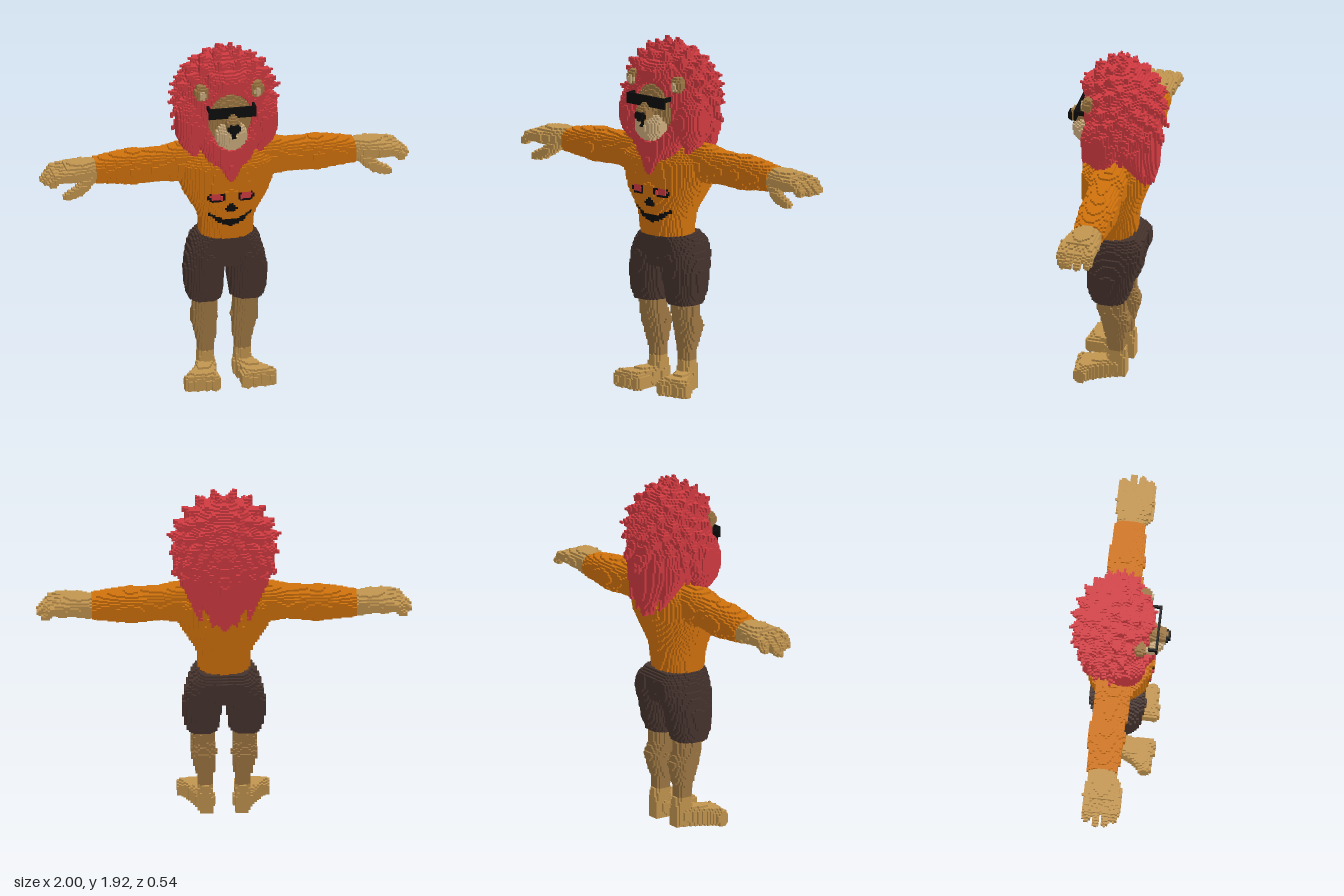
import * as THREE from 'three';

// Voxel figure: every part is a set of simple solids sampled on one shared grid.
const S = 2 / 170, DIM = [174, 168, 64], OFF = [87, 0, 29];
const lerp = (a, b, t) => a + (b - a) * t;

// Ellipsoid
const ball = (x, y, z, rx, ry, rz) => ({
  min: [x - rx, y - ry, z - rz], max: [x + rx, y + ry, z + rz],
  test: (p) => ((p[0] - x) / rx) ** 2 + ((p[1] - y) / ry) ** 2 + ((p[2] - z) / rz) ** 2 <= 1,
});
// Axis-aligned block
const block = (x0, x1, y0, y1, z0, z1, rule = () => true) => ({
  min: [x0, y0, z0], max: [x1, y1, z1],
  test: (p) => p[0] >= x0 && p[0] <= x1 && p[1] >= y0 && p[1] <= y1 && p[2] >= z0 && p[2] <= z1 && rule(p),
});
// Superellipse sections [t, centre a, centre b, radius a, radius b] along an axis
function loft(axis, rings, power = 2.3) {
  const [a, b] = [0, 1, 2].filter((k) => k !== axis);
  const min = [], max = [];
  min[axis] = rings[0][0]; max[axis] = rings.at(-1)[0];
  [a, b].forEach((k, i) => {
    min[k] = Math.min(...rings.map((r) => r[1 + i] - r[3 + i]));
    max[k] = Math.max(...rings.map((r) => r[1 + i] + r[3 + i]));
  });
  const test = (p) => {
    const t = p[axis];
    const n = rings.findIndex((r, i) => i && t >= rings[i - 1][0] && t <= r[0]);
    if (n < 1) return false;
    const f = (t - rings[n - 1][0]) / (rings[n][0] - rings[n - 1][0]);
    const [, ca, cb, ra, rb] = rings[n].map((v, i) => lerp(rings[n - 1][i], v, f));
    return Math.abs((p[a] - ca) / ra) ** power + Math.abs((p[b] - cb) / rb) ** power <= 1;
  };
  return { min, max, test };
}
// Tapered rod between two points
function rod(A, B, r0, r1) {
  const r = Math.max(r0, r1), d = B.map((v, k) => v - A[k]), len = d[0] ** 2 + d[1] ** 2 + d[2] ** 2;
  return {
    min: A.map((v, k) => Math.min(v, B[k]) - r), max: A.map((v, k) => Math.max(v, B[k]) + r),
    test: (p) => {
      let t = 0;
      for (let k = 0; k < 3; k++) t += (p[k] - A[k]) * d[k] / len;
      t = Math.min(1, Math.max(0, t));
      return Math.hypot(...p.map((v, k) => v - A[k] - d[k] * t)) <= lerp(r0, r1, t);
    },
  };
}
const flip = (s) => ({
  min: [-s.max[0], s.min[1], s.min[2]], max: [-s.min[0], s.max[1], s.max[2]],
  test: (p) => s.test([-p[0], p[1], p[2]]),
});
const both = (list) => [...list, ...list.map(flip)];

export function createModel() {
  const group = new THREE.Group();
  const grid = new Uint8Array(DIM[0] * DIM[1] * DIM[2]), parts = [null];
  const at = (c) => c.some((v, k) => v < 0 || v >= DIM[k]) ? 0 : grid[(c[1] * DIM[2] + c[2]) * DIM[0] + c[0]];
  const mat = (name, color) => Object.assign(new THREE.MeshStandardMaterial({ color }), { name });
  const orange = mat('orange shirt', 0xcf710c), red = mat('red mane', 0xd03a40), dark = mat('brown shorts', 0x46332d);
  const fur = mat('brown fur', 0x9c7642), paw = mat('tan paw', 0xc2954f), cream = mat('cream muzzle', 0xcbab7c);
  const black = mat('black', 0x0c0c0c);

  // Claim free cells for a part; a painted part recolours filled front cells instead.
  function add(name, material, solids, { paint = false, cuts = [] } = {}) {
    const id = parts.push({ name, material, cells: [] }) - 1;
    for (const s of solids) {
      const lo = s.min.map((v, k) => Math.max(0, Math.floor(v / S) + OFF[k]));
      const hi = s.max.map((v, k) => Math.min(DIM[k] - 1, Math.ceil(v / S) + OFF[k]));
      for (let y = lo[1]; y <= hi[1]; y++) for (let z = lo[2]; z <= hi[2]; z++) for (let x = lo[0]; x <= hi[0]; x++) {
        const i = (y * DIM[2] + z) * DIM[0] + x;
        if (paint ? !grid[i] : grid[i]) continue;
        const p = [x, y, z].map((v, k) => (v - OFF[k] + 0.5) * S);
        if (s.test(p) && !cuts.some((c) => c.test(p))) grid[i] = id;
      }
    }
  }
  function pair(name, material, solids) {
    add('left' + name, material, solids);
    add('right' + name, material, solids.map(flip));
  }

  // Sunglasses and face
  add('sunglasses', black, [block(-0.13, 0.13, 1.575, 1.64, 0.2, 0.214),
    ...both([block(0.117, 0.13, 1.617, 1.64, 0.11, 0.214)])]);
  add('nose', black, [ball(0, 1.53, 0.253, 0.033, 0.026, 0.022)]);
  add('snoutBridge', fur, [rod([0, 1.6, 0.14], [0, 1.54, 0.222], 0.045, 0.04)]);
  add('muzzle', cream, [ball(0, 1.465, 0.16, 0.085, 0.08, 0.085)]);
  add('noseLine', black, [block(-0.012, 0.012, 1.465, 1.52, 0.2, 0.27)], { paint: true });
  add('head', fur, [ball(0, 1.56, 0.05, 0.14, 0.18, 0.13)]);
  pair('InnerEar', cream, [ball(0.15, 1.695, 0.148, 0.018, 0.026, 0.016)]);
  pair('Ear', fur, [ball(0.15, 1.7, 0.12, 0.037, 0.047, 0.038)]);

  // Mane: core masses plus pointed tufts spread over a sphere
  const tufts = [];
  for (let i = 0; i < 130; i++) {
    const y = 1 - 2 * (i + 0.5) / 130, a = i * 2.39996, q = Math.sqrt(1 - y * y);
    const x = q * Math.cos(a), z = q * Math.sin(a);
    if (x < 0 || y < -0.75 || (z > 0.5 && y < 0.5)) continue;
    const droop = z < 0 ? 0.025 : 0;
    tufts.push(rod([x * 0.215, 1.62 + y * 0.22, -0.02 + z * 0.175],
      [x * 0.298, 1.62 + y * 0.298 - droop - (y < -0.2 ? 0.04 : 0), -0.02 + z * 0.245], 0.05, 0.006));
  }
  const locks = [rod([0.2, 1.45, 0.02], [0.16, 1.27, 0.07], 0.07, 0.008), rod([0.1, 1.4, 0.09], [0.07, 1.24, 0.15], 0.06, 0.008),
    rod([0.17, 1.45, -0.1], [0.13, 1.24, -0.18], 0.07, 0.008), rod([0.08, 1.45, -0.15], [0.06, 1.2, -0.19], 0.06, 0.008)];
  add('mane', red, [
    ball(0, 1.62, -0.02, 0.25, 0.255, 0.2),
    ball(0, 1.745, 0.08, 0.13, 0.075, 0.11),
    ...both([ball(0.19, 1.5, 0.05, 0.085, 0.16, 0.1), ...tufts, ...locks]),
    loft(1, [[1.2, 0, 0.175, 0.01, 0.015], [1.28, 0, 0.13, 0.07, 0.065], [1.36, 0, 0.09, 0.14, 0.1],
      [1.42, 0, 0.05, 0.2, 0.13], [1.52, 0, 0, 0.24, 0.15]]),
    loft(1, [[1.18, 0, -0.185, 0.01, 0.012], [1.28, 0, -0.16, 0.1, 0.06], [1.4, 0, -0.1, 0.2, 0.12], [1.55, 0, -0.06, 0.24, 0.16]]),
  ], { cuts: [ball(0, 1.54, 0.22, 0.14, 0.165, 0.18), ...both([ball(0.168, 1.705, 0.16, 0.055, 0.055, 0.07)])] });

  // Hands: palm, four curled fingers and thumb
  const fingers = [-0.08, -0.03, 0.02, 0.065].flatMap((z, i) => {
    const tip = [0.955, 0.978, 0.975, 0.95][i];
    return [rod([0.84, 1.255, z], [0.92, 1.248, z], 0.032, 0.027), rod([0.92, 1.248, z], [tip, 1.215, z], 0.027, 0.021)];
  });
  pair('Hand', paw, [
    loft(0, [[0.71, 1.245, -0.02, 0.058, 0.075], [0.78, 1.253, -0.012, 0.056, 0.09], [0.87, 1.253, -0.01, 0.045, 0.09]]),
    ...fingers, rod([0.75, 1.22, 0.04], [0.8, 1.175, 0.07], 0.035, 0.03), rod([0.8, 1.175, 0.07], [0.87, 1.145, 0.075], 0.03, 0.022)]);

  // Arms and torso
  pair('Arm', orange, [loft(0, [[0.15, 1.26, -0.01, 0.1, 0.1], [0.26, 1.26, -0.01, 0.1, 0.1], [0.34, 1.255, -0.01, 0.085, 0.09],
    [0.45, 1.25, -0.02, 0.085, 0.095], [0.5, 1.25, -0.02, 0.09, 0.1], [0.6, 1.25, -0.02, 0.077, 0.09], [0.71, 1.245, -0.02, 0.062, 0.08]])]);
  add('torso', orange, [loft(1, [[0.86, 0, 0.025, 0.14, 0.125], [0.95, 0, 0.025, 0.145, 0.135], [1, 0, 0.025, 0.165, 0.14],
    [1.1, 0, 0.018, 0.225, 0.168], [1.18, 0, 0, 0.26, 0.18], [1.27, 0, 0, 0.27, 0.175], [1.33, 0, -0.02, 0.22, 0.14], [1.36, 0, -0.03, 0.15, 0.1]])]);

  // Face painted on the chest
  const paint = { paint: true };
  const oval = (x, y, rx, ry) => block(x - rx, x + rx, y - ry, y + ry, 0.08, 0.25,
    (p) => ((p[0] - x) / rx) ** 2 + ((p[1] - y) / ry) ** 2 <= 1);
  add('chestEyeRims', black, both([oval(0.08, 1.108, 0.05, 0.027)]), paint);
  add('chestEyes', red, both([oval(0.08, 1.11, 0.036, 0.02)]), paint);
  add('chestNose', black, [oval(0, 1.045, 0.03, 0.022)], paint);
  add('chestMouth', black, [block(-0.115, 0.115, 0.92, 1.03, 0.08, 0.25,
    (p) => Math.abs(p[1] - 0.958 - 3.4 * p[0] ** 2) < 0.007 + 0.018 * (1 - Math.abs(p[0]) / 0.115))], paint);

  // Shorts
  add('shorts', dark, [
    loft(1, [[0.68, 0, 0, 0.16, 0.12], [0.75, 0, 0, 0.2, 0.14], [0.82, 0, -0.005, 0.18, 0.145], [0.86, 0, 0.02, 0.147, 0.13]]),
    ...both([loft(1, [[0.48, 0.115, 0.018, 0.085, 0.088], [0.55, 0.118, 0.015, 0.1, 0.115], [0.65, 0.117, 0.008, 0.104, 0.128],
      [0.74, 0.105, -0.003, 0.1, 0.152], [0.81, 0.09, -0.006, 0.09, 0.15], [0.855, 0.07, 0.01, 0.075, 0.13]])])]);

  // Feet with toes, and lower legs
  pair('Foot', paw, [
    loft(2, [[-0.07, 0.095, 0.045, 0.038, 0.05], [0, 0.1, 0.05, 0.05, 0.06], [0.08, 0.13, 0.045, 0.065, 0.058],
      [0.14, 0.152, 0.04, 0.09, 0.056], [0.175, 0.155, 0.035, 0.09, 0.05]], 3.5),
    ...[0.085, 0.132, 0.18, 0.225].map((x, i) => ball(x, 0.04, 0.168 - i * 0.006, 0.028, 0.05, 0.037)),
    loft(1, [[0.04, 0.1, -0.018, 0.05, 0.055], [0.16, 0.1, -0.018, 0.044, 0.05]])]);
  pair('LowerLeg', fur, [loft(1, [[0.15, 0.1, -0.015, 0.042, 0.045], [0.22, 0.1, -0.015, 0.047, 0.046], [0.35, 0.11, -0.018, 0.07, 0.078],
    [0.42, 0.11, 0.008, 0.062, 0.075], [0.5, 0.11, 0.015, 0.06, 0.08]])]);

  // Emit exposed cell faces, joined into strips
  for (let y = 0; y < DIM[1]; y++) for (let z = 0; z < DIM[2]; z++) for (let x = 0; x < DIM[0]; x++) {
    const id = at([x, y, z]);
    if (id) parts[id].cells.push([x, y, z]);
  }
  const step = (c, k, n) => c.map((v, i) => i === k ? v + n : v);
  parts.forEach((part, id) => {
    if (!part || !part.cells.length) return;
    const pos = [], index = [];
    for (let a = 0; a < 3; a++) for (const s of [1, -1]) {
      const u = (a + 1) % 3, v = (a + 2) % 3;
      const open = (c) => at(c) === id && !at(step(c, a, s));
      for (const c of part.cells) {
        if (!open(c) || open(step(c, u, -1))) continue;
        let n = 1;
        while (open(step(c, u, n))) n++;
        const p = s > 0 ? step(c, a, 1) : c, q = step(p, u, n), b = pos.length / 3;
        for (const k of [p, q, step(q, v, 1), step(p, v, 1)]) pos.push(...k.map((w, i) => (w - OFF[i]) * S));
        index.push(...(s > 0 ? [0, 1, 2, 0, 2, 3] : [0, 2, 1, 0, 3, 2]).map((i) => b + i));
      }
    }
    const geo = new THREE.BufferGeometry();
    geo.setAttribute('position', new THREE.Float32BufferAttribute(pos, 3));
    geo.setIndex(index);
    geo.computeVertexNormals();
    const mesh = new THREE.Mesh(geo, part.material);
    mesh.name = part.name;
    group.add(mesh);
  });
  return group;
}
